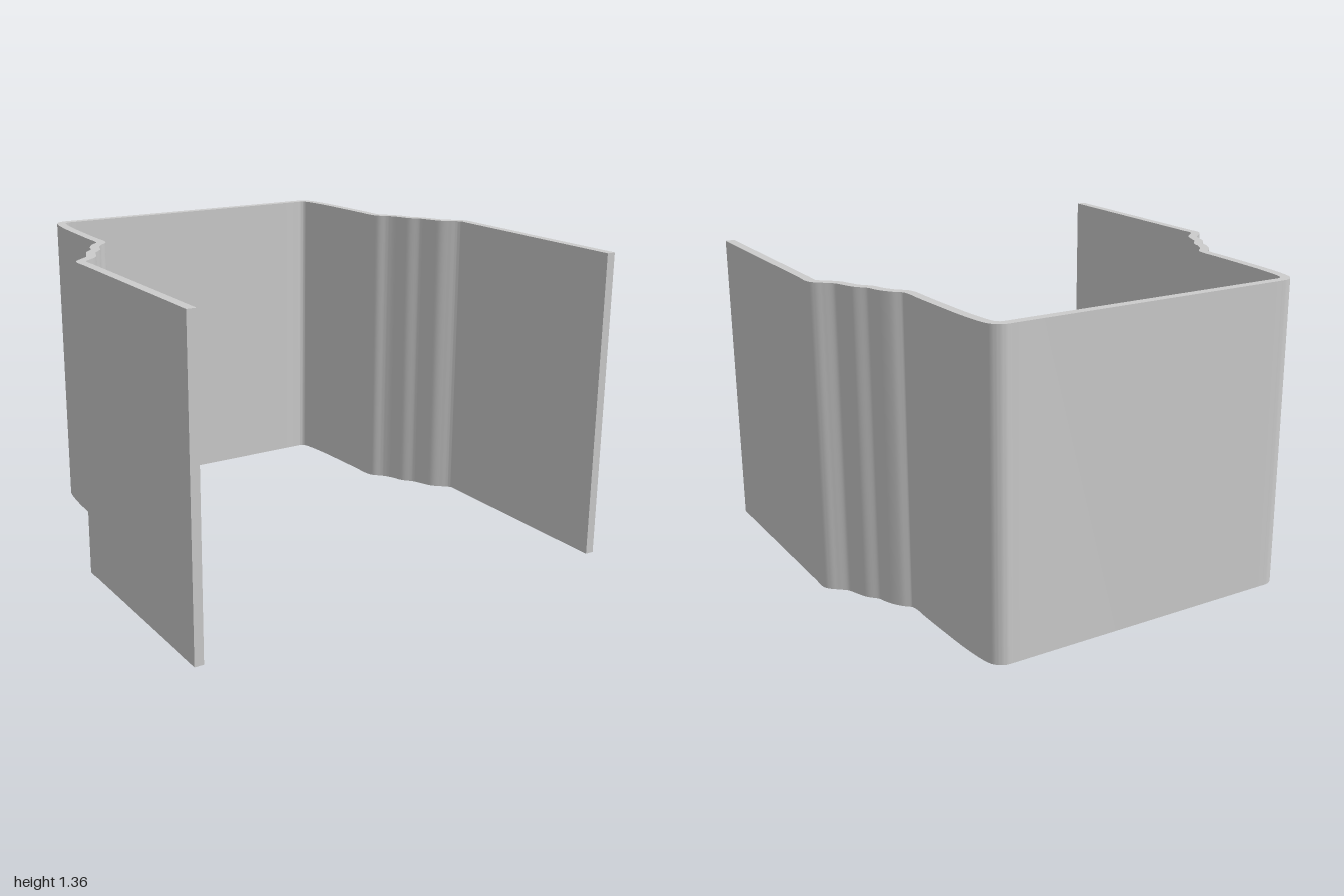
import * as THREE from 'three';
import { toCreasedNormals } from 'three/addons/utils/BufferGeometryUtils.js';

const HEIGHT = 1.355, HALF_THICKNESS = 0.02;

// Centreline of the left half in plan (x, z), from the front edge to the back panel
const BENDS = [
  [0.98, 0.08], [0.98, 0.01], [0.965, -0.015], [0.94, -0.037], [0.904, -0.072], [0.882, -0.123],
  [0.863, -0.166], [0.823, -0.214], [0.807, -0.262], [0.775, -0.316],
  [0.738, -0.355], [0.729, -0.40], [0.729, -0.45], [0.724, -0.6], [0.713, -0.8],
  [0.697, -0.91], [0.685, -0.938], [0.66, -0.956], [0.63, -0.958], [0.56, -0.958],
];

function centreline() {
  const curve = new THREE.CatmullRomCurve3(BENDS.map(([x, z]) => new THREE.Vector3(x, 0, z)));
  // Shape y is -z, so the profile stands up after a quarter turn
  const bends = curve.getPoints(120).map((p) => new THREE.Vector2(p.x, -p.z));
  const half = [new THREE.Vector2(0.98, -0.977), ...bends];
  const mirrored = half.map((p) => new THREE.Vector2(-p.x, p.y)).reverse();
  return [...half, ...mirrored];
}

// Side of the sheet, shifted from the centreline along its normal
function offset(points, distance) {
  return points.map((p, i) => {
    const a = points[Math.max(i - 1, 0)];
    const b = points[Math.min(i + 1, points.length - 1)];
    const t = b.clone().sub(a).normalize();
    return new THREE.Vector2(p.x + t.y * distance, p.y - t.x * distance);
  });
}

export function createModel() {
  const group = new THREE.Group();
  group.name = 'bentPanel';

  // One sheet of even thickness, bent round the back and rippled at both sides
  const line = centreline();
  const outline = [...offset(line, HALF_THICKNESS), ...offset(line, -HALF_THICKNESS).reverse()];
  const geometry = new THREE.ExtrudeGeometry(new THREE.Shape(outline), {
    depth: HEIGHT, bevelEnabled: false,
  });
  geometry.rotateX(-Math.PI / 2);

  const wall = new THREE.Mesh(
    toCreasedNormals(geometry, Math.PI / 5),
    new THREE.MeshStandardMaterial({ color: 0xcccccc }),
  );
  wall.name = 'wall';
  group.add(wall);
  return group;
}
